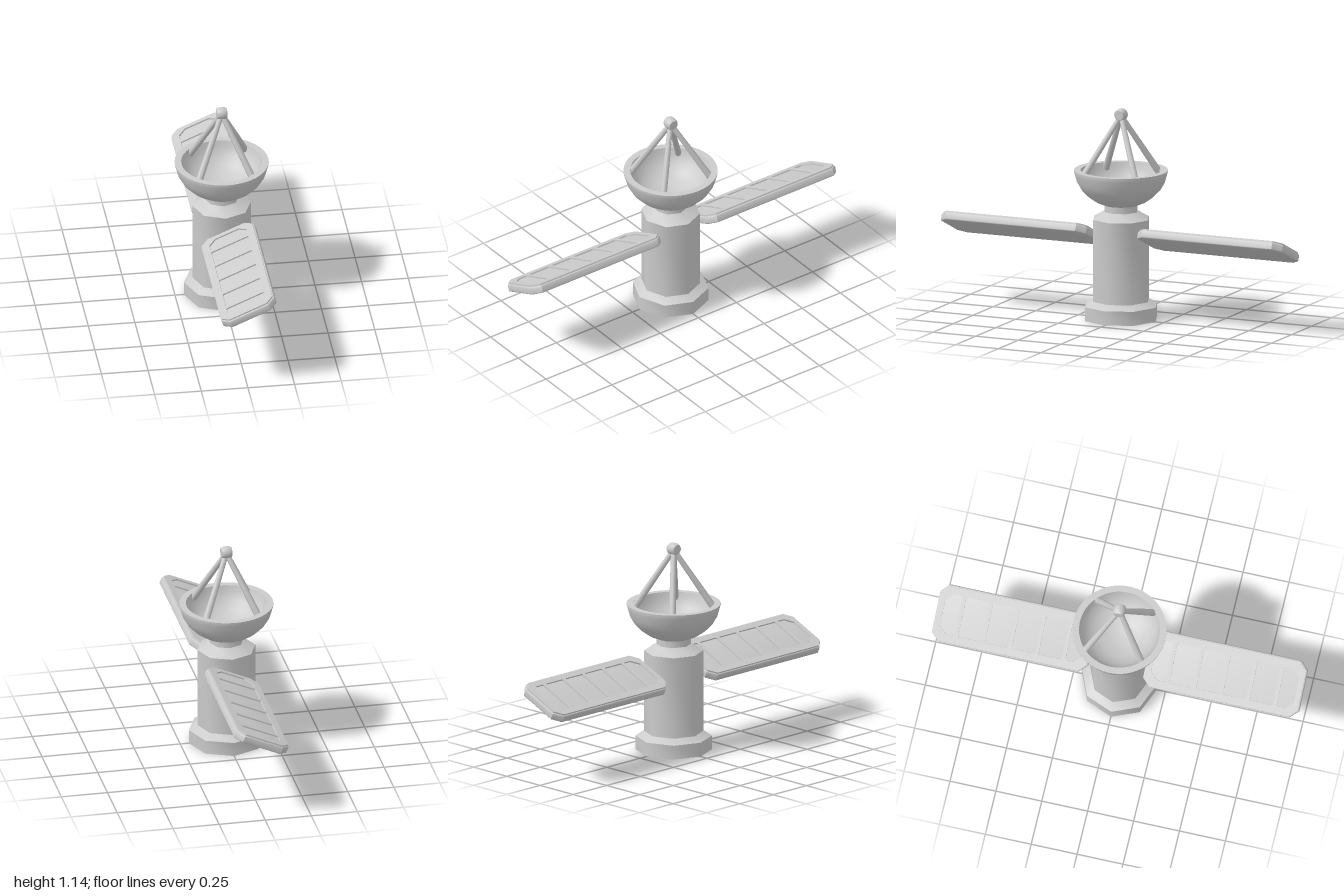
import * as THREE from 'three';
import { toCreasedNormals } from 'three/addons/utils/BufferGeometryUtils.js';

const material = new THREE.MeshStandardMaterial({ color: 0xcccccc });

function add(parent, name, geometry) {
  const mesh = new THREE.Mesh(geometry, material);
  mesh.name = name;
  parent.add(mesh);
  return mesh;
}

const points = (list) => list.map(([x, y]) => new THREE.Vector2(x, y));

// Rectangle with cut corners; one cut size for the low end, one for the high end
function cutRect(x0, y0, x1, y1, low, high, Type = THREE.Shape) {
  return new Type(points([
    [x0 + low, y0], [x1 - low, y0], [x1, y0 + low], [x1, y1 - high],
    [x1 - high, y1], [x0 + high, y1], [x0, y1 - high], [x0, y0 + low],
  ]));
}

function addRod(parent, name, from, to, r0, r1) {
  const dir = to.clone().sub(from);
  const rod = add(parent, name, new THREE.CylinderGeometry(r1, r0, dir.length(), 8));
  rod.position.copy(from).add(to).multiplyScalar(0.5);
  rod.quaternion.setFromUnitVectors(new THREE.Vector3(0, 1, 0), dir.normalize());
}

// Solar panel: softened slab with a shallow frame of six recessed cells
function makePanel() {
  const panel = new THREE.Group();
  const bevel = 0.007;
  const w = 0.155 - bevel, l = 0.425 - bevel;
  const outline = () => cutRect(-w, -l, w, l, 0.04, 0.04);

  const slab = new THREE.ExtrudeGeometry(outline(), {
    depth: 0.028, bevelThickness: bevel, bevelSize: bevel, bevelSegments: 3,
  });
  slab.translate(0, 0, -0.025 + bevel).rotateX(-Math.PI / 2);
  add(panel, 'panelSlab', toCreasedNormals(slab, 0.7));

  const frame = outline();
  const pitch = 0.146, gap = 0.01;
  for (let i = -3; i < 3; i++) {
    const y0 = Math.max(i * pitch, -0.4) + gap;
    const y1 = Math.min((i + 1) * pitch, 0.4) - gap;
    frame.holes.push(cutRect(-0.108, y0, 0.108, y1,
      i === -3 ? 0.04 : 0.004, i === 2 ? 0.04 : 0.004, THREE.Path));
  }
  const frameGeometry = new THREE.ExtrudeGeometry(frame, { depth: 0.008, bevelEnabled: false });
  frameGeometry.translate(0, 0, 0.017).rotateX(-Math.PI / 2);
  add(panel, 'panelCellFrame', frameGeometry);
  return panel;
}

export function createModel() {
  const model = new THREE.Group();
  model.name = 'satellite';

  // Eight-sided body with flared base, sloped shoulder and neck
  const body = new THREE.LatheGeometry(points([
    [0, 0], [0.203, 0], [0.203, 0.076], [0.157, 0.102], [0.157, 0.545],
    [0.092, 0.583], [0.092, 0.64], [0, 0.64],
  ]), 8);
  add(model, 'body', toCreasedNormals(body, 0.9));

  // Hollow dish: outer bowl, flat rim, inner bowl
  const dish = new THREE.LatheGeometry(points([
    [0, 0.618], [0.095, 0.62], [0.135, 0.637], [0.175, 0.665], [0.21, 0.701],
    [0.234, 0.742], [0.246, 0.785], [0.25, 0.8], [0.25, 0.807], [0.215, 0.807],
    [0.207, 0.775], [0.187, 0.735], [0.152, 0.698], [0.105, 0.671],
    [0.05, 0.656], [0, 0.652],
  ]), 40);
  add(model, 'dish', toCreasedNormals(dish, 0.6));

  // Four feed struts meeting at the receiver
  const struts = new THREE.Group();
  struts.name = 'struts';
  model.add(struts);
  const top = new THREE.Vector3(0, 1.1, 0);
  for (const sx of [-1, 1]) {
    for (const sz of [-1, 1]) {
      addRod(struts, 'strut', new THREE.Vector3(sx * 0.15, 0.77, sz * 0.16), top, 0.019, 0.014);
    }
  }

  // Receiver: short drum lying across the top
  const drum = new THREE.LatheGeometry(points([
    [0, -0.028], [0.026, -0.028], [0.032, -0.018], [0.033, 0],
    [0.032, 0.018], [0.026, 0.028], [0, 0.028],
  ]), 16);
  drum.rotateZ(Math.PI / 2);
  add(model, 'receiver', toCreasedNormals(drum, 0.8)).position.set(0, 1.105, 0);

  // Tilted panels in front and behind
  for (const side of [1, -1]) {
    const panel = makePanel();
    panel.name = side > 0 ? 'frontPanel' : 'backPanel';
    panel.position.set(0.011, 0.446, side * 0.575);
    panel.rotation.z = THREE.MathUtils.degToRad(23.5);
    model.add(panel);
  }
  return model;
}
